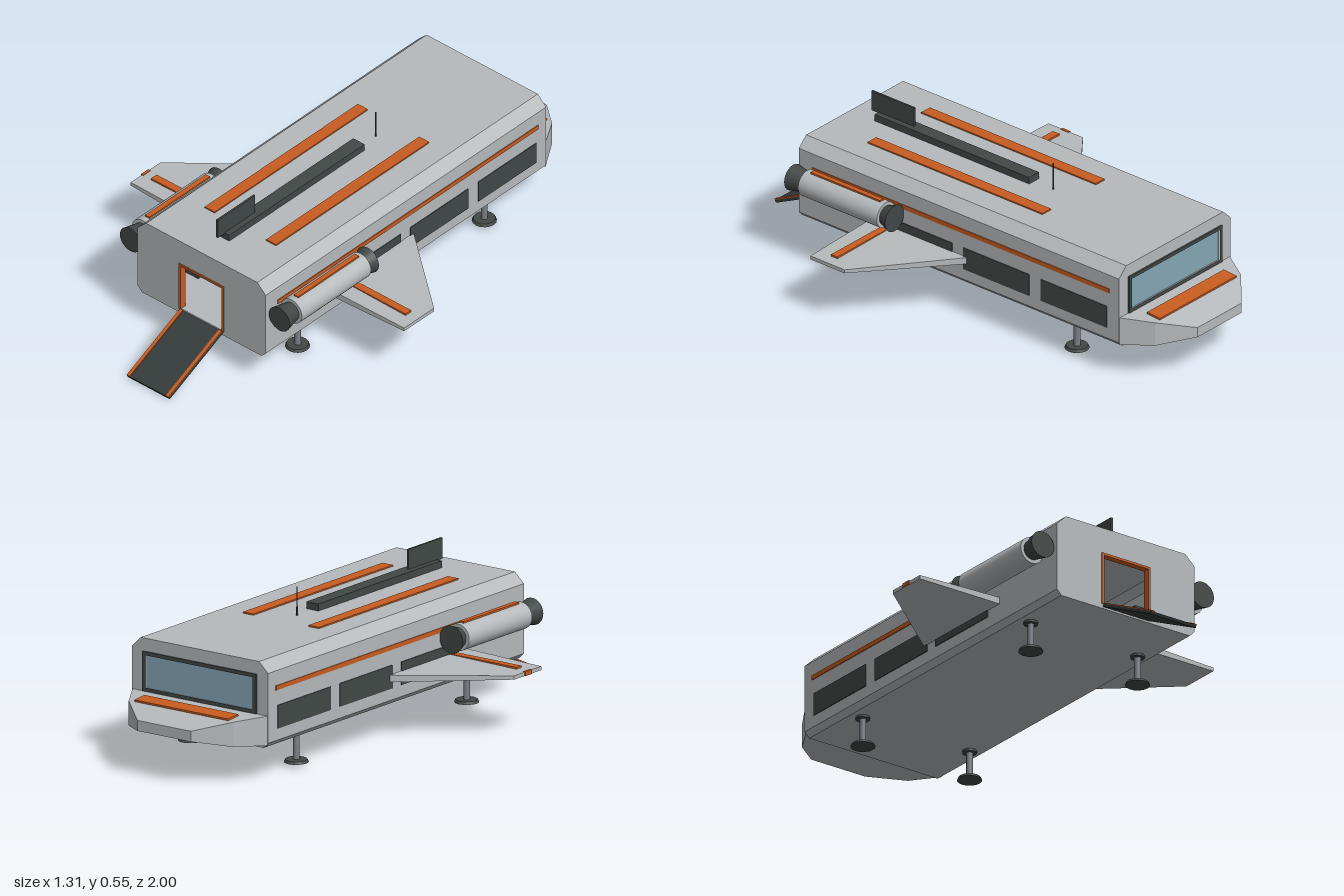
import * as THREE from 'three';
import { ConvexGeometry } from 'three/addons/geometries/ConvexGeometry.js';

const mat = (name, color) => {
  const m = new THREE.MeshStandardMaterial({ color });
  m.name = name;
  return m;
};

export function createModel() {
  const hull = mat('hull grey', 0xb6babc);
  const dark = mat('dark trim', 0x414846);
  const orange = mat('orange', 0xc85c20);
  const glass = mat('glass', 0x86a6b5);
  const brown = mat('seat brown', 0x552a20);
  const steel = mat('strut steel', 0x7b8087);
  const rampDark = mat('ramp dark', 0x363b3b);

  const root = new THREE.Group();
  root.name = 'shuttle';

  const add = (name, geo, material, parent = root) => {
    const m = new THREE.Mesh(geo, material);
    m.name = name;
    parent.add(m);
    return m;
  };
  // Box given by its min and max on each axis
  const box = (name, material, [x0, x1], [y0, y1], [z0, z1], parent = root) => {
    const m = add(name, new THREE.BoxGeometry(x1 - x0, y1 - y0, z1 - z0), material, parent);
    m.position.set((x0 + x1) / 2, (y0 + y1) / 2, (z0 + z1) / 2);
    return m;
  };
  const cyl = (name, material, rTop, rBottom, y0, y1, parent, sides = 16) => {
    const m = add(name, new THREE.CylinderGeometry(rTop, rBottom, y1 - y0, sides), material, parent);
    m.position.y = (y0 + y1) / 2;
    return m;
  };
  const vecs = (pts) => pts.map((p) => new THREE.Vector2(p[0], p[1]));
  const rect = (x, y0, y1) => vecs([[-x, y0], [-x, y1], [x, y1], [x, y0]]);

  // Hull: hollow chamfered tube closed by two pierced walls
  const outline = vecs([[-0.285, 0.127], [0.285, 0.127], [0.305, 0.147], [0.305, 0.405],
    [0.265, 0.443], [-0.265, 0.443], [-0.305, 0.405], [-0.305, 0.147]]);
  const inner = vecs([[-0.285, 0.147], [-0.285, 0.397], [-0.258, 0.423],
    [0.258, 0.423], [0.285, 0.397], [0.285, 0.147]]);
  const slab = (name, hole, z, depth) => {
    const shape = new THREE.Shape(outline);
    shape.holes.push(new THREE.Path(hole));
    const geo = new THREE.ExtrudeGeometry(shape, { depth, bevelEnabled: false });
    add(name, geo, hull).position.z = z;
  };
  slab('hullShell', inner, -0.775, 1.47);
  slab('doorWall', rect(0.1, 0.147, 0.337), 0.695, 0.017);
  slab('windscreenWall', rect(0.24, 0.26, 0.382), -0.79, 0.015);

  // Windscreen and its dark frame
  box('windscreen', glass, [-0.24, 0.24], [0.26, 0.382], [-0.788, -0.78]);
  const frame = new THREE.Shape(rect(0.255, 0.248, 0.395));
  frame.holes.push(new THREE.Path(rect(0.24, 0.262, 0.382)));
  add('windscreenFrame', new THREE.ExtrudeGeometry(frame, { depth: 0.006, bevelEnabled: false }), dark)
    .position.z = -0.796;

  // Faceted nose from three narrowing sections: z, half width, bottom, top
  const nose = [];
  for (const [z, x, y0, y1] of [[-0.79, 0.302, 0.138, 0.247], [-0.9, 0.235, 0.146, 0.238], [-1, 0.12, 0.168, 0.207]])
    for (const s of [-1, 1]) nose.push(new THREE.Vector3(s * x, y0, z), new THREE.Vector3(s * x, y1, z));
  add('nose', new ConvexGeometry(nose), hull);
  const noseStripe = box('noseStripe', orange, [-0.21, 0.21], [0.241, 0.248], [-0.9, -0.84]);
  noseStripe.rotation.x = -0.08;

  // Door frame
  for (const s of [-1, 1]) {
    const x = [s * 0.098, s * 0.107].sort((a, b) => a - b);
    box('doorFrameSide', orange, x, [0.145, 0.345], [0.69, 0.716]);
  }
  box('doorFrameTop', orange, [-0.107, 0.107], [0.336, 0.345], [0.69, 0.716]);

  // Boarding ramp, hinged at the door sill
  const ramp = new THREE.Group();
  ramp.name = 'ramp';
  ramp.position.set(0, 0.14, 0.713);
  ramp.rotation.x = 0.442;
  root.add(ramp);
  box('rampPlate', rampDark, [-0.1, 0.1], [-0.006, 0.005], [0, 0.315], ramp);
  box('rampEdgeLeft', orange, [0.086, 0.1], [0.005, 0.009], [0, 0.315], ramp);
  box('rampEdgeRight', orange, [-0.1, -0.086], [0.005, 0.009], [0, 0.315], ramp);

  // Cabin: console, pilot seat and rows of seats along the walls
  box('console', dark, [-0.24, 0.24], [0.2, 0.246], [-0.76, -0.66]);
  box('consoleBase', hull, [-0.2, 0.2], [0.147, 0.2], [-0.75, -0.69]);
  box('pilotSeat', brown, [-0.037, 0.037], [0.147, 0.195], [-0.58, -0.48]);
  box('pilotSeatBack', brown, [-0.037, 0.037], [0.195, 0.302], [-0.5, -0.48]);
  for (const s of [-1, 1])
    for (let i = 0; i < 6; i++) {
      const z = -0.3 + i * 0.15;
      const x = s > 0 ? [0.17, 0.26] : [-0.26, -0.17];
      box('cabinSeat', dark, x, [0.147, 0.195], [z, z + 0.09]);
      box('cabinSeatBack', dark, x, [0.195, 0.28], [z + 0.07, z + 0.09]);
    }

  // Roof: rail, fin, antenna and stripes
  box('roofRail', dark, [-0.027, 0.027], [0.442, 0.469], [-0.13, 0.595]);
  box('roofFin', dark, [-0.004, 0.004], [0.465, 0.543], [0.43, 0.63]);
  cyl('antenna', dark, 0.002, 0.003, 0.443, 0.548, root, 8).position.z = -0.22;
  for (const x of [-0.17, 0.123])
    box('roofStripe', orange, [x, x + 0.047], [0.442, 0.448], [-0.315, 0.505]);

  for (const s of [-1, 1]) {
    const span = (a, b) => (s > 0 ? [a, b] : [-b, -a]);

    // Side windows and stripe
    for (const z of [-0.735, -0.37, -0.01])
      box('sideWindow', dark, span(0.302, 0.308), [0.19, 0.276], [z, z + 0.31]);
    box('sideStripe', orange, span(0.302, 0.308), [0.333, 0.35], [-0.745, 0.65]);

    // Tapered wing
    const pts = [];
    for (const [x, z, t] of [[0.295, -0.088, 0.013], [0.295, 0.37, 0.013], [0.652, 0.2, 0.007], [0.652, 0.36, 0.007]])
      for (const v of [-1, 1]) pts.push(new THREE.Vector3(s * x, 0.229 + v * t, z));
    add('wing', new ConvexGeometry(pts), hull);
    box('wingStripe', orange, span(0.3, 0.607), [0.236, 0.244], [0.272, 0.302]);

    // Engine pod, modelled upright then laid along z
    const engine = new THREE.Group();
    engine.name = 'engine';
    engine.position.set(s * 0.355, 0.315, 0);
    engine.rotation.x = Math.PI / 2;
    root.add(engine);
    cyl('engineBody', hull, 0.05, 0.05, 0.26, 0.63, engine, 24);
    cyl('engineIntake', dark, 0.036, 0.052, 0.22, 0.262, engine, 24);
    cyl('engineNozzle', dark, 0.05, 0.036, 0.628, 0.695, engine, 24);
    box('engineStripe', orange, [s * 0.355 - 0.01, s * 0.355 + 0.01], [0.362, 0.37], [0.28, 0.605]);

    // Landing legs
    for (const z of [-0.535, 0.465]) {
      const leg = new THREE.Group();
      leg.name = 'landingLeg';
      leg.position.set(s * 0.237, 0, z);
      root.add(leg);
      cyl('strut', steel, 0.012, 0.012, 0.018, 0.127, leg);
      cyl('legCollar', dark, 0.026, 0.026, 0.118, 0.128, leg);
      cyl('foot', dark, 0.04, 0.045, 0.012, 0.022, leg);
    }
  }
  // Marker on the right wing tip
  box('wingTipMarker', orange, [-0.656, -0.645], [0.222, 0.238], [0.262, 0.3]);

  return root;
}
